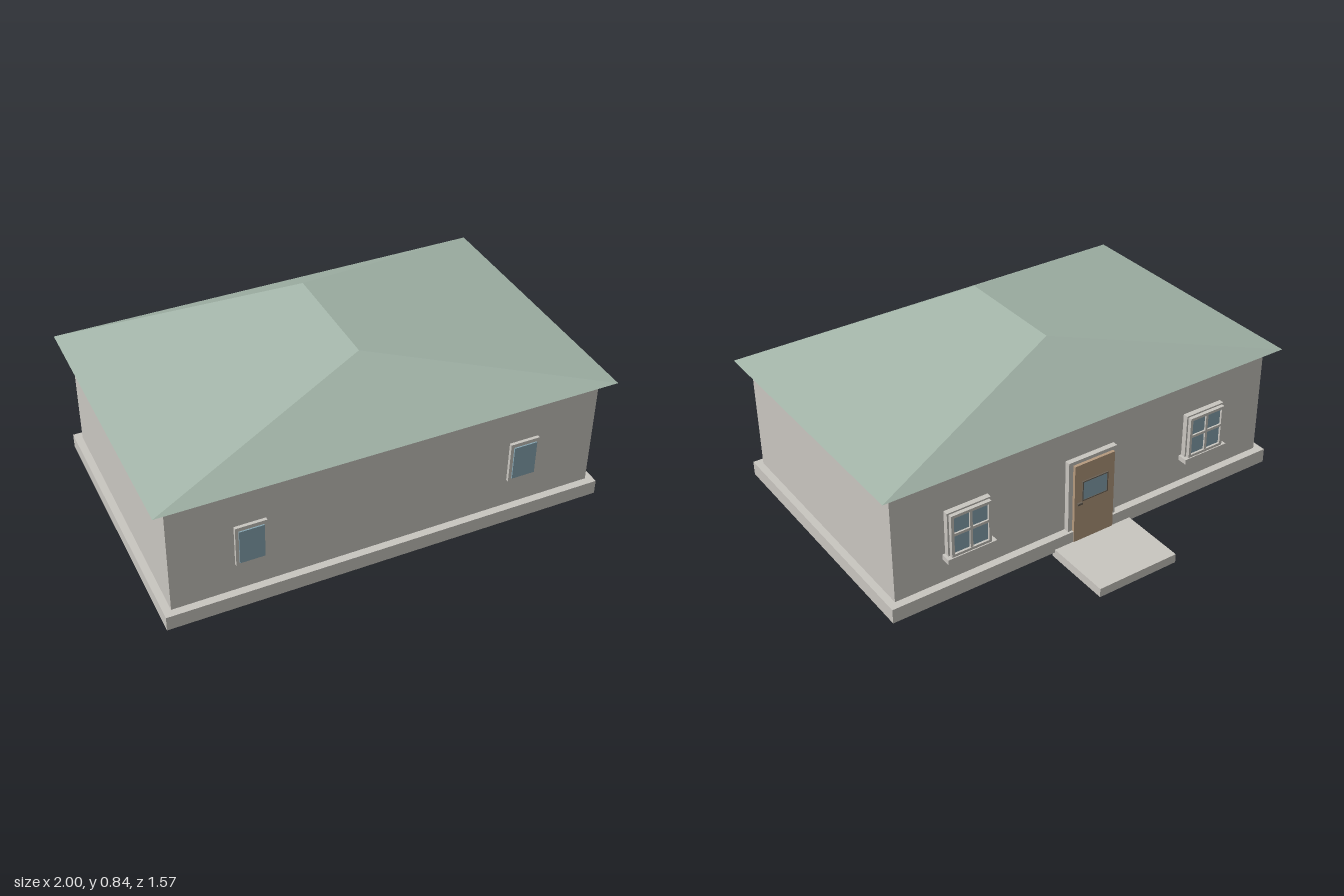
import * as THREE from 'three';

const mat = (name, color) => {
  const m = new THREE.MeshStandardMaterial({ color });
  m.name = name;
  return m;
};

export function createModel() {
  const house = new THREE.Group();
  house.name = 'house';
  const plaster = mat('plaster', 0xc9c6c0);
  const roofGreen = mat('roofGreen', 0xa3b5a9);
  const glass = mat('glass', 0x88a6b2);
  const wood = mat('wood', 0xb59a7e);
  const metal = mat('metal', 0x6b6256);

  // Box given by its minimum and maximum on each axis
  const box = (parent, name, material, [x0, x1], [y0, y1], [z0, z1]) => {
    const mesh = new THREE.Mesh(new THREE.BoxGeometry(x1 - x0, y1 - y0, z1 - z0), material);
    mesh.position.set((x0 + x1) / 2, (y0 + y1) / 2, (z0 + z1) / 2);
    mesh.name = name;
    parent.add(mesh);
    return mesh;
  };

  // Rectangular ring extruded from z0 to z1
  const ring = (parent, name, material, [x0, x1], [y0, y1], [z0, z1], t) => {
    const rect = (C, a, b, c, d) => {
      const p = new C();
      p.moveTo(a, c); p.lineTo(b, c); p.lineTo(b, d); p.lineTo(a, d); p.closePath();
      return p;
    };
    const shape = rect(THREE.Shape, x0, x1, y0, y1);
    shape.holes.push(rect(THREE.Path, x0 + t, x1 - t, y0 + t, y1 - t));
    const geo = new THREE.ExtrudeGeometry(shape, { depth: z1 - z0, bevelEnabled: false });
    const mesh = new THREE.Mesh(geo, material);
    mesh.position.z = z0;
    mesh.name = name;
    parent.add(mesh);
  };

  // Body
  box(house, 'plinth', plaster, [-0.977, 0.977], [0.028, 0.095], [-0.474, 0.765]);
  box(house, 'walls', plaster, [-0.944, 0.944], [0.09, 0.622], [-0.438, 0.731]);
  box(house, 'doorStep', plaster, [-0.197, 0.197], [0, 0.042], [-0.785, -0.455]);

  // Hip roof: four eave corners and two ridge ends
  const P = [
    [-1, 0.622, 0.782], [1, 0.622, 0.782], [1, 0.622, -0.496], [-1, 0.622, -0.496],
    [0, 0.842, 0.415], [0, 0.842, -0.127],
  ];
  const faces = [
    [0, 1, 4], [2, 3, 5],
    [1, 2, 5], [1, 5, 4],
    [3, 0, 4], [3, 4, 5],
    [0, 3, 2], [0, 2, 1],
  ];
  const roofGeo = new THREE.BufferGeometry();
  roofGeo.setAttribute('position',
    new THREE.Float32BufferAttribute(faces.flat().flatMap((i) => P[i]), 3));
  roofGeo.computeVertexNormals();
  const roof = new THREE.Mesh(roofGeo, roofGreen);
  roof.name = 'roof';
  house.add(roof);

  for (const side of [-1, 1]) {
    // Small single-pane windows on the +z wall
    const small = new THREE.Group();
    small.name = side > 0 ? 'smallWindowLeft' : 'smallWindowRight';
    small.position.x = side * 0.606;
    box(small, 'frame', plaster, [-0.067, 0.067], [0.23, 0.422], [0.725, 0.745]);
    box(small, 'pane', glass, [-0.053, 0.053], [0.246, 0.405], [0.744, 0.751]);
    house.add(small);

    // Four-pane windows with sills on the entrance wall
    const win = new THREE.Group();
    win.name = side > 0 ? 'paneWindowLeft' : 'paneWindowRight';
    win.position.x = side * 0.606;
    box(win, 'frame', plaster, [-0.102, 0.102], [0.228, 0.437], [-0.462, -0.43]);
    box(win, 'panes', glass, [-0.085, 0.085], [0.238, 0.42], [-0.469, -0.46]);
    ring(win, 'sash', plaster, [-0.094, 0.094], [0.229, 0.43], [-0.479, -0.46], 0.013);
    box(win, 'mullion', plaster, [-0.006, 0.006], [0.235, 0.425], [-0.477, -0.46]);
    box(win, 'crossbar', plaster, [-0.088, 0.088], [0.328, 0.34], [-0.477, -0.46]);
    box(win, 'sill', plaster, [-0.115, 0.115], [0.207, 0.23], [-0.484, -0.43]);
    house.add(win);
  }

  // Entrance door
  const door = new THREE.Group();
  door.name = 'door';
  box(door, 'doorFrame', plaster, [-0.123, 0.123], [0.017, 0.44], [-0.463, -0.43]);
  box(door, 'doorLeaf', wood, [-0.102, 0.102], [0.04, 0.424], [-0.477, -0.46]);
  ring(door, 'doorWindowTrim', metal, [-0.066, 0.066], [0.242, 0.34], [-0.483, -0.476], 0.005);
  box(door, 'doorWindow', glass, [-0.063, 0.063], [0.245, 0.337], [-0.481, -0.476]);
  box(door, 'handle', metal, [0.066, 0.09], [0.228, 0.238], [-0.486, -0.476]);
  house.add(door);

  return house;
}
